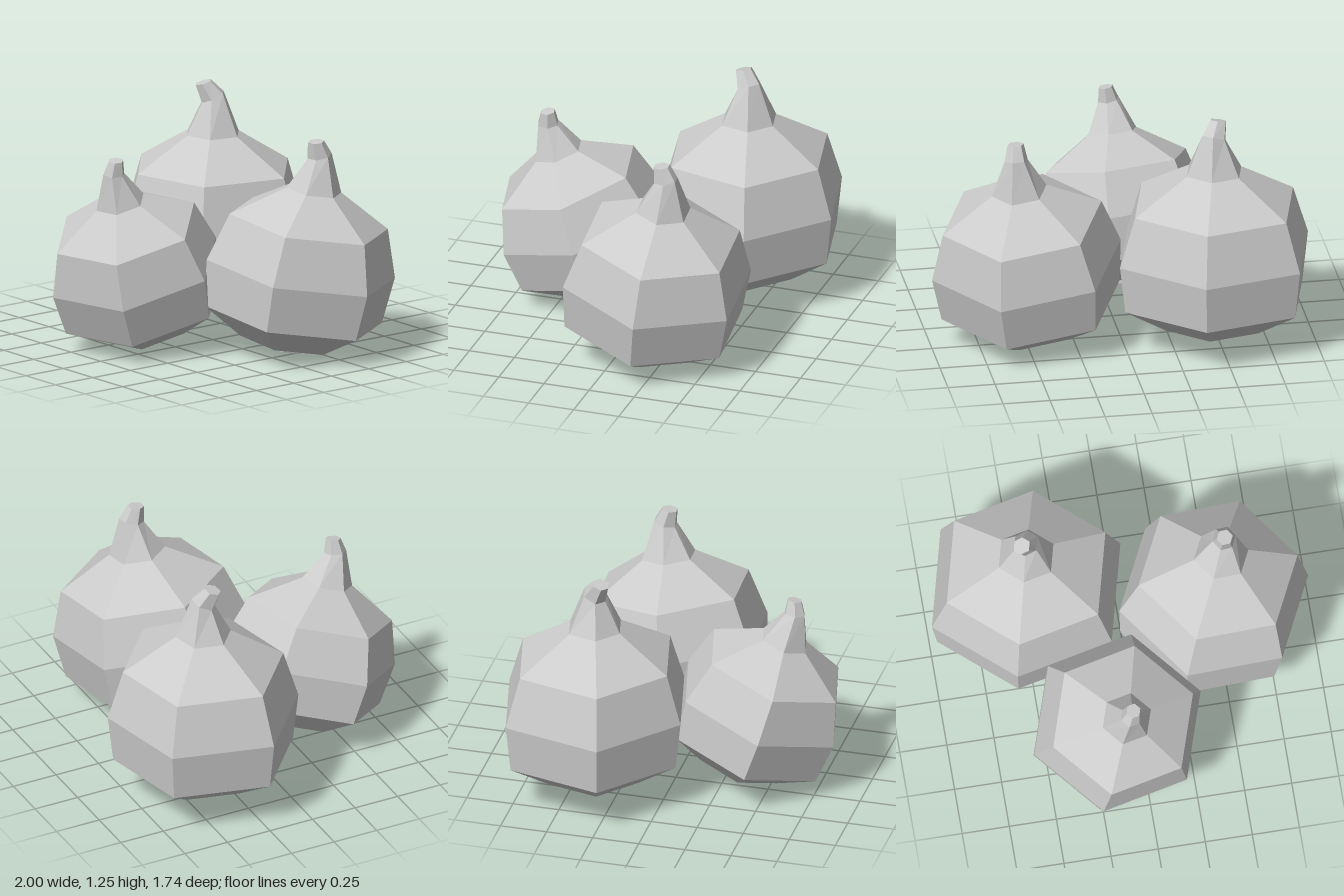
import * as THREE from 'three';

const SIDES = 6;
const material = new THREE.MeshStandardMaterial({ color: 0xcccccc, flatShading: true });

// Skins six-sided rings listed from bottom to top; a ring of radius 0 closes to a point.
// Ring: { r, y, x, z, slope: [sx, sz] } where slope tips the ring out of level.
function loft(name, rings, squash) {
  const point = (ring, k) => {
    const a = (k / SIDES) * Math.PI * 2;
    const r = ring.r * (k % 3 === 2 ? 1 - squash : 1 + squash / 2);
    const dx = r * Math.cos(a), dz = r * Math.sin(a);
    const [sx, sz] = ring.slope ?? [0, 0];
    return [(ring.x ?? 0) + dx, ring.y + sx * dx + sz * dz, (ring.z ?? 0) + dz];
  };
  const positions = [];
  for (let i = 0; i < rings.length - 1; i++) {
    const low = rings[i], high = rings[i + 1];
    for (let k = 0; k < SIDES; k++) {
      const a = point(low, k), b = point(low, (k + 1) % SIDES);
      const d = point(high, k), c = point(high, (k + 1) % SIDES);
      if (low.r > 0) positions.push(...b, ...a, ...d);
      if (high.r > 0) positions.push(...b, ...d, ...c);
    }
  }
  const geometry = new THREE.BufferGeometry();
  geometry.setAttribute('position', new THREE.Float32BufferAttribute(positions, 3));
  geometry.computeVertexNormals();
  const mesh = new THREE.Mesh(geometry, material);
  mesh.name = name;
  return mesh;
}

// One bulb, its local origin at the centre of its widest ring.
function makeBulb({ name, at, axis, yaw, scale, bend, squash = 0 }) {
  const bulb = new THREE.Group();
  bulb.name = name;
  const ring = (r, y) => ({ r, y });

  // Hollowed root disc under the bulb
  bulb.add(loft('rootDisc', [
    ring(0, -0.43), ring(0.055, -0.43), ring(0.07, -0.46), ring(0.09, -0.46), ring(0.1, -0.415),
  ], squash));

  // Faceted body
  bulb.add(loft('body', [
    ring(0.1, -0.415), ring(0.275, -0.41), ring(0.505, -0.26),
    ring(0.535, 0), ring(0.45, 0.27), ring(0.155, 0.45),
  ], squash));

  // Tapered stem with a bent, cut-off tip; the bend is turned into the local frame
  const c = Math.cos(yaw), s = Math.sin(yaw);
  const bx = bend[0] * c + bend[1] * s, bz = bend[1] * c - bend[0] * s;
  const tip = { r: 0.045, y: 0.725, x: bx, z: bz, slope: [-bx * 6, -bz * 6] };
  bulb.add(loft('stem', [
    ring(0.155, 0.45),
    { r: 0.065, y: 0.645, slope: [-bx * 9, -bz * 9] },
    tip,
    { ...tip, r: 0 },
  ], squash));

  // Lean the axis after turning the bulb about it
  const lean = new THREE.Quaternion().setFromUnitVectors(
    new THREE.Vector3(0, 1, 0), new THREE.Vector3(...axis).normalize());
  const turn = new THREE.Quaternion().setFromAxisAngle(new THREE.Vector3(0, 1, 0), -yaw);
  bulb.quaternion.copy(lean).multiply(turn);
  bulb.position.set(...at);
  bulb.scale.setScalar(scale);
  return bulb;
}

export function createModel() {
  const model = new THREE.Group();
  model.name = 'bulbCluster';
  const deg = Math.PI / 180;
  const bulbs = [
    { name: 'largeBulb', at: [-0.477, 0.52, -0.378], axis: [0, 1, 0], yaw: -16 * deg, scale: 1, bend: [-0.03, 0.04], squash: 0.042 },
    { name: 'leftBulb', at: [0.49, 0.455, -0.2], axis: [0.11, 1, -0.12], yaw: -5 * deg, scale: 0.96, bend: [-0.01, 0.035] },
    { name: 'frontBulb', at: [-0.123, 0.44, 0.427], axis: [0.08, 1, 0.32], yaw: -13 * deg, scale: 0.88, bend: [0.01, -0.03] },
  ];
  for (const spec of bulbs) model.add(makeBulb(spec));
  return model;
}
